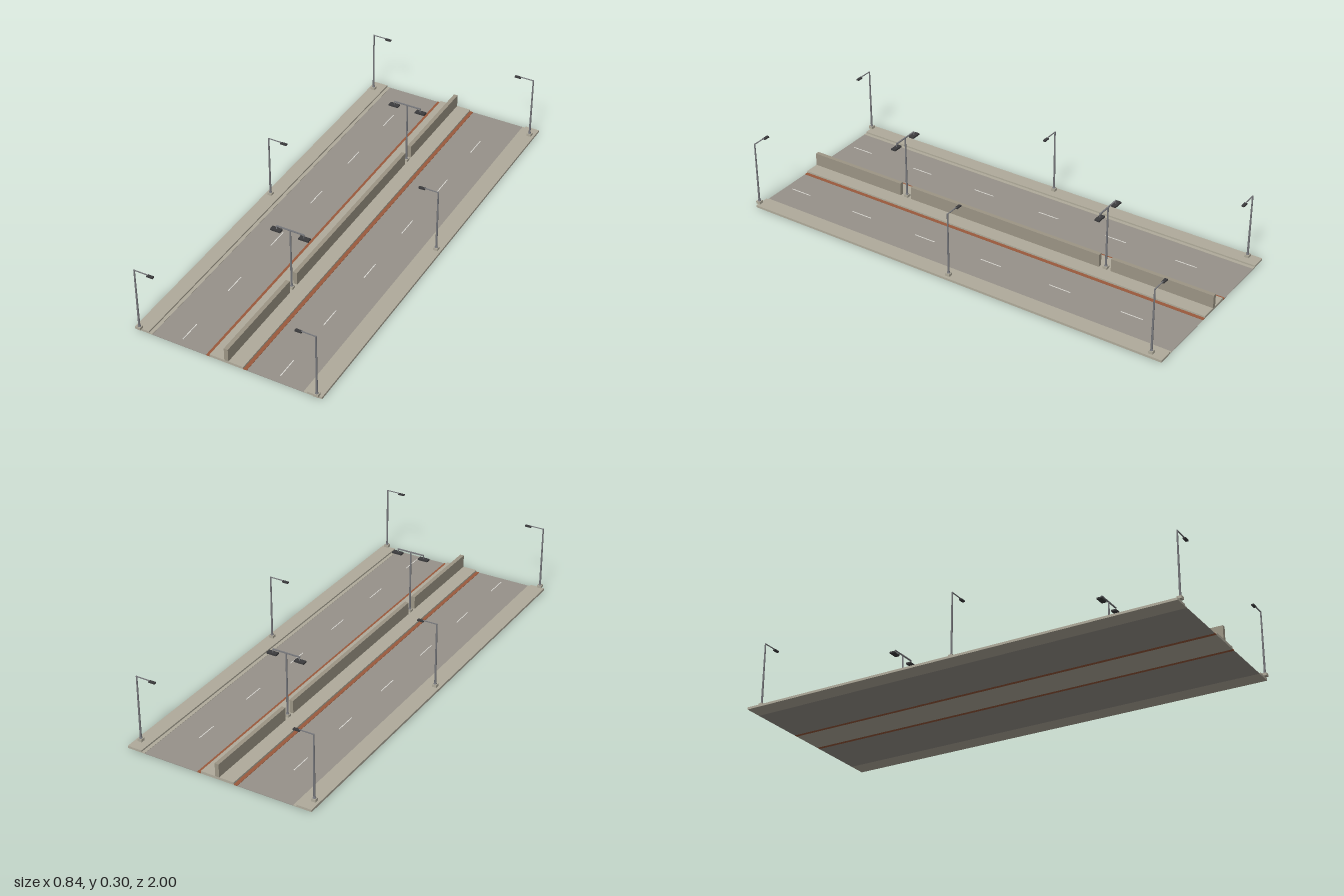
import * as THREE from 'three';

const mat = (color) => new THREE.MeshStandardMaterial({ color });
const concrete = mat(0xb0ab9b), asphalt = mat(0x97928a), brick = mat(0x9a5a3c);
const wall = mat(0x9c9585), paint = mat(0xdedcd6), steel = mat(0x77787c), dark = mat(0x3b3b3d);

const Z0 = -1, Z1 = 0.988, MID = (Z0 + Z1) / 2;

// Box given by its minimum and maximum corners
function slab(name, material, x0, x1, y0, y1, z0 = Z0, z1 = Z1) {
  const mesh = new THREE.Mesh(new THREE.BoxGeometry(x1 - x0, y1 - y0, z1 - z0), material);
  mesh.position.set((x0 + x1) / 2, (y0 + y1) / 2, (z0 + z1) / 2);
  mesh.name = name;
  return mesh;
}

// Footing block, collar and slightly tapered round post
function post(y0) {
  const g = new THREE.Group();
  g.add(slab('footing', concrete, -0.01, 0.01, y0, 0.022, -0.01, 0.01));
  const collar = new THREE.Mesh(new THREE.CylinderGeometry(0.005, 0.007, 0.006, 12), steel);
  collar.position.y = 0.025;
  collar.name = 'collar';
  const shaft = new THREE.Mesh(new THREE.CylinderGeometry(0.0032, 0.0045, 0.28, 12), steel);
  shaft.position.y = 0.162;
  shaft.name = 'shaft';
  g.add(collar, shaft);
  return g;
}

// Roadside lamp with one arm, reaching towards +x
function sideLamp() {
  const g = post(0.01);
  g.name = 'sideLamp';
  g.add(slab('arm', steel, -0.003, 0.062, 0.299, 0.302, -0.002, 0.002));
  g.add(slab('lampHead', dark, 0.059, 0.087, 0.294, 0.3, -0.006, 0.006));
  return g;
}

// Central lamp with two arms and hanging heads
function medianLamp() {
  const g = post(0.011);
  g.name = 'medianLamp';
  g.add(slab('crossArm', steel, -0.063, 0.063, 0.299, 0.303, -0.003, 0.003));
  for (const s of [-1, 1]) {
    const x = s * 0.0615;
    g.add(slab('hanger', steel, x - 0.0015, x + 0.0015, 0.285, 0.3, -0.0015, 0.0015));
    const h = s * 0.0635;
    g.add(slab('lampHead', dark, h - 0.0225, h + 0.0225, 0.279, 0.286, -0.011, 0.011));
  }
  return g;
}

export function createModel() {
  const model = new THREE.Group();
  model.name = 'dividedRoad';

  // Carriageways, pavements, gutters, brick edging and lane dashes on both sides
  for (const s of [-1, 1]) {
    const strip = (name, m, a, b, y0, y1, z0, z1) =>
      model.add(slab(name, m, Math.min(s * a, s * b), Math.max(s * a, s * b), y0, y1, z0, z1));
    strip('carriageway', asphalt, 0.09, 0.34, 0, 0.002);
    strip('gutter', concrete, 0.338, 0.353, 0, 0.003);
    strip('pavement', concrete, 0.353, 0.418, 0, 0.01);
    strip('brickEdging', brick, 0.075, 0.091, 0, 0.0035);
    for (let i = 0; i < 6; i++) {
      const z = -0.755 + i * 0.332;
      strip('laneDash', paint, 0.2165, 0.2205, 0.002, 0.0028, z - 0.05, z + 0.05);
    }
  }
  model.add(slab('median', concrete, -0.075, 0.075, 0, 0.011));

  // Barrier wall, broken around the central lamps
  const lampZ = [MID - 0.5, MID + 0.5], gap = 0.028;
  const ends = [Z0, lampZ[0] - gap, lampZ[0] + gap, lampZ[1] - gap, lampZ[1] + gap, Z1];
  for (let i = 0; i < 6; i += 2)
    model.add(slab('barrier', wall, -0.009, 0.009, 0.011, 0.069, ends[i], ends[i + 1]));

  for (const z of lampZ) {
    const lamp = medianLamp();
    lamp.position.z = z;
    model.add(lamp);
  }

  // Roadside lamps face the carriageway
  for (const z of [-0.944, MID, 0.989]) {
    for (const s of [-1, 1]) {
      const lamp = sideLamp();
      lamp.position.set(s * 0.396, 0, z);
      if (s > 0) lamp.rotation.y = Math.PI;
      model.add(lamp);
    }
  }
  return model;
}
